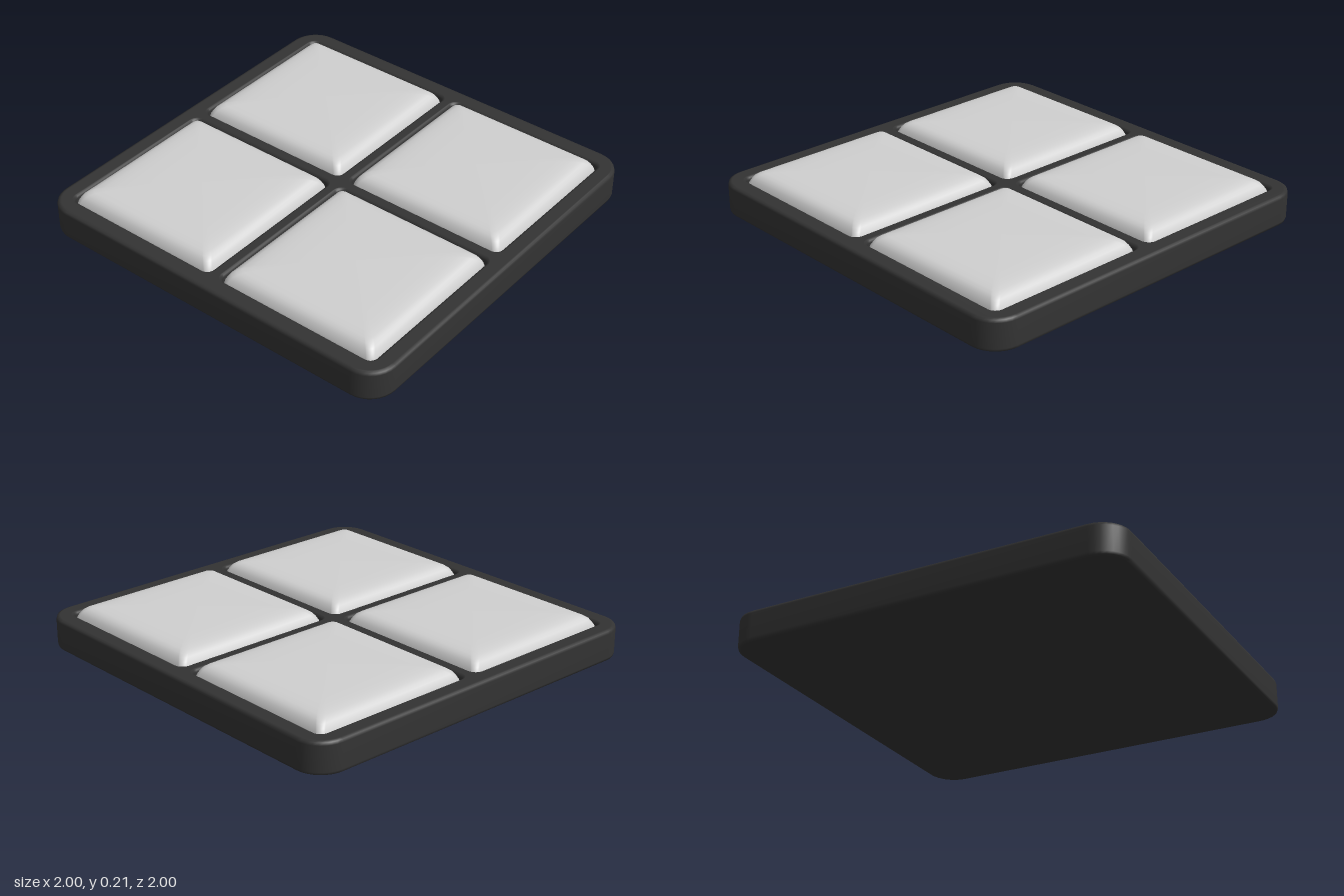
import * as THREE from 'three';

const CORNER_STEPS = 8;

// Rounded square outline, counter-clockwise seen from above: [x, z] pairs
function ring(half, radius) {
  const pts = [];
  for (let q = 0; q < 4; q++) {
    const mid = Math.PI / 4 + q * Math.PI / 2;
    const cx = Math.SQRT2 * (half - radius) * Math.cos(mid);
    const cy = Math.SQRT2 * (half - radius) * Math.sin(mid);
    for (let i = 0; i <= CORNER_STEPS; i++) {
      const a = (q + i / CORNER_STEPS) * Math.PI / 2;
      pts.push([cx + radius * Math.cos(a), -(cy + radius * Math.sin(a))]);
    }
  }
  return pts;
}

// Smooth skin through rounded squares given as [half width, corner radius, y]
function loft(profile) {
  const pos = [], index = [], n = 4 * (CORNER_STEPS + 1);
  profile.forEach(([half, radius, y], i) => {
    ring(half, radius).forEach(([x, z]) => pos.push(x, y, z));
    if (i === 0) return;
    for (let j = 0; j < n; j++) {
      const a = (i - 1) * n + j, b = (i - 1) * n + (j + 1) % n;
      index.push(a, b, b + n, a, b + n, a + n);
    }
  });
  const g = new THREE.BufferGeometry();
  g.setAttribute('position', new THREE.Float32BufferAttribute(pos, 3));
  g.setIndex(index);
  g.computeVertexNormals();
  return g;
}

export function createModel() {
  const dark = new THREE.MeshStandardMaterial({ color: 0x333333 });
  dark.name = 'charcoal';
  const light = new THREE.MeshStandardMaterial({ color: 0xd0d0d0 });
  light.name = 'pale grey';

  const model = new THREE.Group();
  const add = (name, geometry, material, x = 0, z = 0) => {
    const mesh = new THREE.Mesh(geometry, material);
    mesh.name = name;
    mesh.position.set(x, 0, z);
    model.add(mesh);
  };

  const centre = 0.47;
  const centres = [-1, 1].flatMap(sx => [-1, 1].map(sz => [sx * centre, sz * centre]));

  // Tray underside and outer wall with softened edges
  add('trayBody', loft([
    [0, 0, 0], [0.98, 0.12, 0], [0.985, 0.125, 0], [0.996, 0.136, 0.005], [1, 0.14, 0.018],
    [1, 0.14, 0.142], [0.996, 0.136, 0.155], [0.985, 0.125, 0.16], [0.98, 0.12, 0.16],
  ]), dark);

  // Tray top face with four pocket openings
  const top = new THREE.Shape(ring(0.98, 0.12).map(([x, z]) => new THREE.Vector2(x, -z)));
  for (const [cx, cz] of centres) {
    top.holes.push(new THREE.Path(
      ring(0.452, 0.05).map(([x, z]) => new THREE.Vector2(cx + x, -(cz + z)))));
  }
  const topGeometry = new THREE.ShapeGeometry(top);
  topGeometry.rotateX(-Math.PI / 2).translate(0, 0.16, 0);
  add('trayTop', topGeometry, dark);

  // Pocket with a rolled lip, going down to its floor
  const pocket = loft([
    [0.452, 0.05, 0.16], [0.448, 0.046, 0.159], [0.441, 0.04, 0.154],
    [0.437, 0.036, 0.145], [0.436, 0.035, 0.1], [0.43, 0.03, 0.1], [0, 0, 0.1],
  ]);

  // Cushion-like pad with a gently domed top
  const pad = loft([
    [0.43, 0.03, 0.1], [0.43, 0.03, 0.13], [0.426, 0.03, 0.146], [0.417, 0.03, 0.164],
    [0.406, 0.03, 0.18], [0.39, 0.03, 0.192], [0.37, 0.028, 0.2], [0.335, 0.025, 0.205],
    [0.29, 0.02, 0.208], [0.2, 0.015, 0.2105], [0, 0, 0.212],
  ]);

  for (const [cx, cz] of centres) {
    const label = (cz > 0 ? 'front' : 'back') + (cx > 0 ? 'Left' : 'Right');
    add(label + 'Pocket', pocket, dark, cx, cz);
    add(label + 'Pad', pad, light, cx, cz);
  }
  return model;
}
